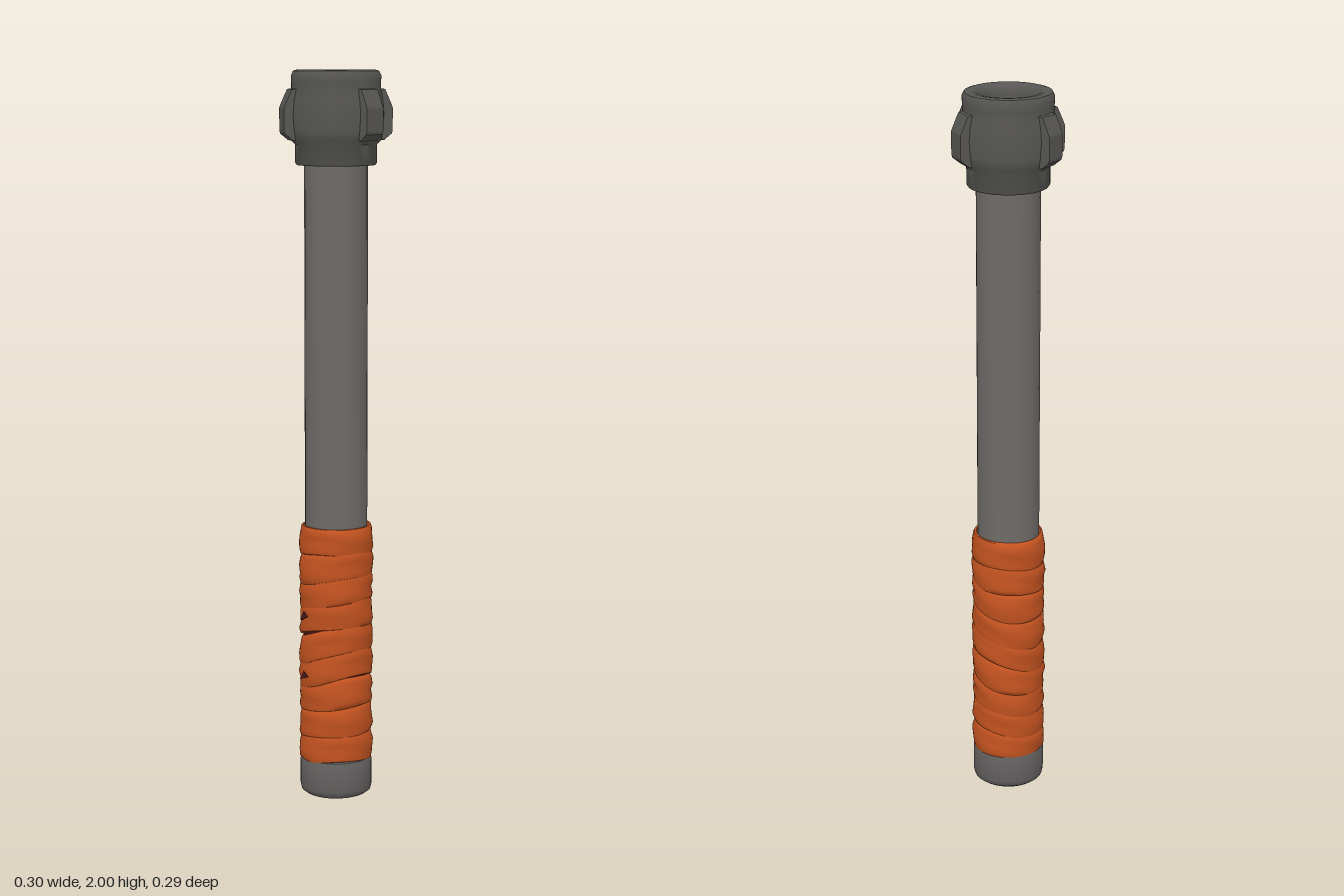
import * as THREE from 'three';
import { toCreasedNormals } from 'three/addons/utils/BufferGeometryUtils.js';

const mat = (name, color, extra = {}) => {
  const m = new THREE.MeshStandardMaterial({ color, ...extra });
  m.name = name;
  return m;
};

export function createModel() {
  const steel = mat('steel', 0x6e6b67);
  const darkSteel = mat('darkSteel', 0x575654);
  const capSteel = mat('capSteel', 0x636160);
  const orange = mat('orangeWrap', 0xc45320, { side: THREE.DoubleSide });
  const maroon = mat('maroonUnderlay', 0x4f1a1c);

  const group = new THREE.Group();
  const add = (name, geometry, material, parent = group) => {
    const mesh = new THREE.Mesh(geometry, material);
    mesh.name = name;
    parent.add(mesh);
    return mesh;
  };
  const lathe = (pts, segments = 32) =>
    new THREE.LatheGeometry(pts.map(([r, y]) => new THREE.Vector2(r, y)), segments);

  // Straight pipe, its top closed inside the collar
  add('pipe', toCreasedNormals(lathe([[0.086, 0.08], [0.086, 1.87], [0, 1.87]], 24), 0.7), steel);

  // Rounded end cap
  add('endCap', toCreasedNormals(lathe([
    [0, 0], [0.088, 0], [0.097, 0.007], [0.1, 0.02],
    [0.1, 0.09], [0.096, 0.102], [0.08, 0.104],
  ]), 0.7), capSteel);

  // Collar with an open rim, swelling gently around each lug
  const lugAngles = [0, Math.PI / 3, Math.PI, Math.PI * 4 / 3];
  const collar = lathe([
    [0.084, 1.748], [0.106, 1.748], [0.11, 1.754], [0.11, 1.803], [0.121, 1.815],
    [0.123, 1.84], [0.124, 1.88], [0.123, 1.92], [0.119, 1.95], [0.12, 1.965],
    [0.121, 1.985], [0.115, 1.997], [0.105, 2], [0.09, 1.998], [0.08, 1.99],
    [0.077, 1.975], [0.077, 1.86],
  ], 72);
  const p = collar.attributes.position;
  for (let i = 0; i < p.count; i++) {
    const x = p.getX(i), y = p.getY(i), z = p.getZ(i), r = Math.hypot(x, z);
    if (r < 0.112 || y > 1.96) continue;
    let swell = 0;
    for (const a of lugAngles) {
      const off = Math.acos(THREE.MathUtils.clamp((x * Math.cos(a) - z * Math.sin(a)) / r, -1, 1));
      swell += 0.009 * Math.exp(-((off / 0.28) ** 2) - ((y - 1.88) / 0.05) ** 2);
    }
    p.setXYZ(i, x * (1 + swell / r), y, z * (1 + swell / r));
  }
  add('collar', toCreasedNormals(collar, 0.8), darkSteel);

  // Four wedge-shaped lugs
  const lugShape = new THREE.Shape();
  [[0.1, 1.815], [0.126, 1.815], [0.147, 1.832], [0.149, 1.84],
    [0.149, 1.9], [0.146, 1.908], [0.128, 1.948], [0.1, 1.953],
  ].forEach(([x, y], i) => (i ? lugShape.lineTo(x, y) : lugShape.moveTo(x, y)));
  const lugGeometry = new THREE.ExtrudeGeometry(lugShape, {
    depth: 0.052, bevelEnabled: true, bevelSize: 0.001, bevelThickness: 0.004, bevelSegments: 1,
  });
  lugGeometry.translate(0, 0, -0.026);
  const lugs = new THREE.Group();
  lugs.name = 'lugs';
  group.add(lugs);
  for (const a of lugAngles) add('lug', lugGeometry, darkSteel, lugs).rotation.y = a;

  // Underlay showing through the narrow gaps of the wrap
  add('gripUnderlay', new THREE.CylinderGeometry(0.0905, 0.0905, 0.645, 32, 1, true)
    .translate(0, 0.43, 0), maroon);

  // Overlapping tilted cloth bands, each a closed ring of a rounded cross-section
  const wrap = new THREE.Group();
  wrap.name = 'gripWrap';
  group.add(wrap);
  const band = (y0, height, tilt, phase, seed) => {
    const section = [
      [0.09, 0], [0.0985, 0.04], [0.1015, 0.2], [0.1, 0.42],
      [0.1015, 0.6], [0.099, 0.82], [0.095, 0.96], [0.089, 1],
    ];
    const ring = lathe(section, 48);
    const q = ring.attributes.position;
    for (let i = 0; i < q.count; i++) {
      const a = Math.atan2(q.getX(i), q.getZ(i)), t = q.getY(i);
      // Creases drift across the cloth as they run round the handle
      const fold = 0.0022 * Math.sin(2 * a + 7 * t + seed) + 0.0012 * Math.sin(3 * a - 9 * t + seed * 2);
      const r = Math.hypot(q.getX(i), q.getZ(i)) + fold * Math.sin(Math.PI * t);
      const y = y0 + height * (t - 0.5) + tilt * Math.sin(a - phase)
        + 0.005 * Math.sin(2 * a + seed) * (1 - t);
      q.setXYZ(i, r * Math.sin(a), THREE.MathUtils.clamp(y, 0.1, 0.764), r * Math.cos(a));
    }
    return toCreasedNormals(ring, 0.9);
  };
  const tilts = [0.008, 0.014, 0.02, 0.03, 0.032, 0.028, 0.02, 0.014, 0.006];
  tilts.forEach((tilt, i) => add('wrapBand',
    band(0.137 + i * 0.0735, 0.086, tilt, 0.25 * Math.sin(i * 2.1), i * 1.7), orange, wrap));

  // Two slits where the underlay shows at the front
  for (const [a, y, w] of [[-0.25, 0.51, 0.035], [-0.25, 0.34, 0.045]]) {
    const slit = new THREE.Shape();
    slit.moveTo(-w / 2, -0.012);
    slit.lineTo(w / 2, 0.004);
    slit.lineTo(0, 0.016);
    slit.closePath();
    const plate = add('wrapSlit', new THREE.ExtrudeGeometry(slit, { depth: 0.006, bevelEnabled: false }), maroon, wrap);
    plate.position.set(0.0975 * Math.sin(a), y, 0.0975 * Math.cos(a));
    plate.rotation.y = a;
  }
  return group;
}
